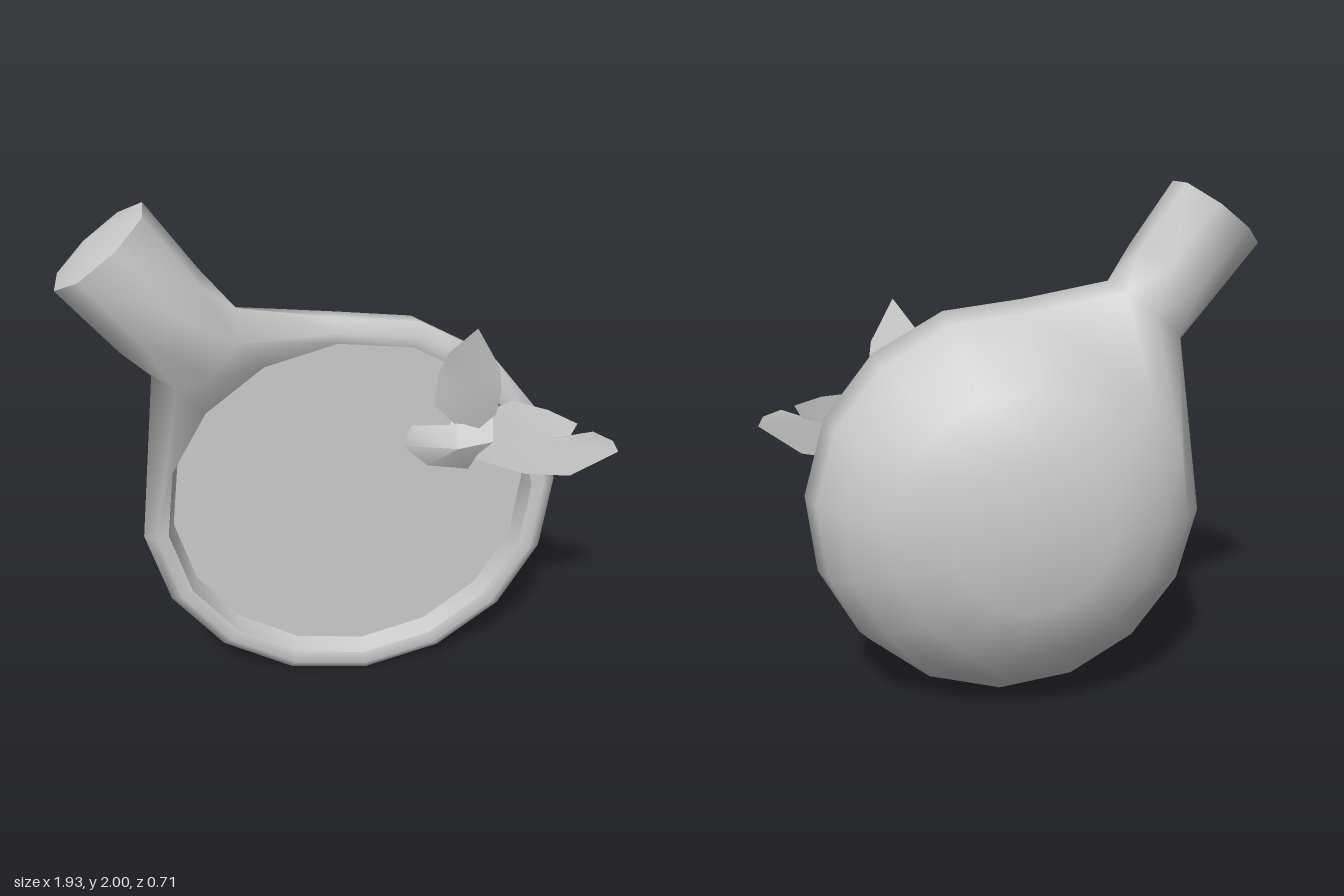
import * as THREE from 'three';
import { toCreasedNormals } from 'three/addons/utils/BufferGeometryUtils.js';

const SIDES = 16;
const CENTRE = new THREE.Vector3(0.02, 0.79, 0);
const LIQUID = { r: 0.675, z: 0.08 };
const grey = new THREE.MeshStandardMaterial({ color: 0xcccccc });
const leafGrey = new THREE.MeshStandardMaterial({ color: 0xcccccc, side: THREE.DoubleSide });

const columnAngle = (i) => THREE.MathUtils.degToRad(-85.5 + (i * 360) / SIDES);

function ringPoint(r, z, i) {
  const a = columnAngle(i);
  return new THREE.Vector3(CENTRE.x + r * Math.cos(a), CENTRE.y + r * Math.sin(a), z);
}

const ring = (r, z) => Array.from({ length: SIDES }, (_, i) => ringPoint(r, z, i));

function meshFrom(name, triangles, material, crease) {
  const geometry = new THREE.BufferGeometry().setFromPoints(triangles);
  const mesh = new THREE.Mesh(toCreasedNormals(geometry, crease), material);
  mesh.name = name;
  return mesh;
}

// Octagonal cross-section of the stem; lean slides its front towards the bowl
function stemSection(x, y, z, width, depth, twist, lean) {
  return Array.from({ length: 8 }, (_, j) => {
    const a = ((j + 1 + twist) * Math.PI) / 4;
    const across = width * Math.cos(a);
    const slide = lean * Math.max(0, Math.sin(a));
    return new THREE.Vector3(
      x + 0.79 * across + 0.61 * slide,
      y + 0.61 * across - 0.79 * slide,
      z + depth * Math.sin(a),
    );
  });
}

const stemSections = [
  stemSection(-0.535, 1.515, 0.142, 0.193, 0.145, 0, 0.09),
  stemSection(-0.645, 1.655, 0.167, 0.195, 0.19, -0.5, 0.02),
  stemSection(-0.82, 1.885, 0.163, 0.205, 0.205, -0.5, 0),
];

// Bowl with rolled rim; the stem grows out of a 2 x 2 patch of its wall
function createBowl() {
  const tris = [];
  const quad = (a, b, c, d) => tris.push(a, b, c, a, c, d);

  // [radius, z] from the inner edge, over the rim, to the back
  const rings = [
    [0.695, 0.155], [0.74, 0.167], [0.787, 0.135],
    [0.752, 0.0], [0.67, -0.11], [0.52, -0.26], [0.3, -0.355],
  ].map(([r, z]) => ring(r, z));

  // Pull the patch border out into the stem's base
  const border = [[1, 9], [1, 10], [1, 11], [2, 11], [3, 11], [3, 10], [3, 9], [2, 9]];
  border.forEach(([k, i], j) => rings[k][i].copy(stemSections[0][j]));

  for (let k = 0; k < rings.length - 1; k++) {
    for (let i = 0; i < SIDES; i++) {
      const inPatch = (k === 1 || k === 2) && (i === 9 || i === 10);
      if (inPatch) continue;
      const n = (i + 1) % SIDES;
      quad(rings[k][i], rings[k + 1][i], rings[k + 1][n], rings[k][n]);
    }
  }

  // Back of the bowl
  const back = new THREE.Vector3(CENTRE.x, CENTRE.y, -0.357);
  const last = rings[rings.length - 1];
  for (let i = 0; i < SIDES; i++) tris.push(back, last[(i + 1) % SIDES], last[i]);

  // Stem
  for (let s = 0; s < stemSections.length - 1; s++) {
    const [low, high] = [stemSections[s], stemSections[s + 1]];
    for (let j = 0; j < 8; j++) {
      const n = (j + 1) % 8;
      quad(low[j], high[j], high[n], low[n]);
    }
  }
  return meshFrom('bowlAndStem', tris, grey, Math.PI);
}

// Slightly domed end of the stem
function createStemEnd() {
  const tip = new THREE.Vector3(-0.845, 1.915, 0.163);
  const end = stemSections[2];
  const tris = end.flatMap((p, j) => [tip, end[(j + 1) % 8], p]);
  return meshFrom('stemEnd', tris, grey, Math.PI);
}

// Steep wall between the rim and the drink
function createInnerWall() {
  const low = ring(LIQUID.r, LIQUID.z);
  const high = ring(0.695, 0.155);
  const tris = low.flatMap((p, i) => {
    const n = (i + 1) % SIDES;
    return [p, high[i], high[n], p, high[n], low[n]];
  });
  return meshFrom('innerWall', tris, grey, Math.PI);
}

// Flat drink surface just below the rim
function createLiquid() {
  const edge = ring(LIQUID.r, LIQUID.z);
  const middle = new THREE.Vector3(CENTRE.x, CENTRE.y, LIQUID.z);
  const tris = edge.flatMap((p, i) => [middle, p, edge[(i + 1) % SIDES]]);
  return meshFrom('liquid', tris, grey, 0.5);
}

// Thin leaf: a fan from a raised midpoint to its outline
function createLeaf(name, middle, outline) {
  const c = new THREE.Vector3(...middle);
  const pts = outline.map((p) => new THREE.Vector3(...p));
  const tris = pts.flatMap((p, i) => [c, p, pts[(i + 1) % pts.length]]);
  return meshFrom(name, tris, leafGrey, 0.8);
}

function createSprig() {
  const sprig = new THREE.Group();
  sprig.name = 'leafSprig';
  sprig.add(
    createLeaf('uprightLeaf', [0.43, 1.33, 0.235], [
      [0.45, 1.08, 0.17], [0.53, 1.2, 0.23], [0.535, 1.31, 0.26], [0.52, 1.41, 0.27],
      [0.43, 1.57, 0.285], [0.345, 1.45, 0.22], [0.325, 1.35, 0.175], [0.315, 1.22, 0.165],
    ]),
    createLeaf('sideLeaf', [0.68, 1.09, 0.25], [
      [0.46, 0.98, 0.15], [0.65, 0.955, 0.255], [0.8, 0.97, 0.315], [0.96, 1.08, 0.352],
      [0.94, 1.12, 0.34], [0.87, 1.15, 0.315], [0.85, 1.12, 0.31], [0.79, 1.11, 0.29],
      [0.82, 1.17, 0.285], [0.72, 1.21, 0.24], [0.6, 1.23, 0.19], [0.52, 1.18, 0.16],
    ]),
    createLeaf('curledLeaf', [0.4, 1.06, 0.22], [
      [0.22, 1.01, 0.08], [0.31, 0.94, 0.12], [0.46, 0.93, 0.15], [0.48, 1.02, 0.2],
      [0.53, 1.08, 0.22], [0.535, 1.16, 0.18], [0.45, 1.2, 0.15], [0.4, 1.19, 0.14],
      [0.38, 1.13, 0.16], [0.25, 1.1, 0.09],
    ]),
  );
  return sprig;
}

export function createModel() {
  const model = new THREE.Group();
  model.name = 'stemmedBowl';
  model.add(createBowl(), createStemEnd(), createInnerWall(), createLiquid(), createSprig());
  return model;
}
